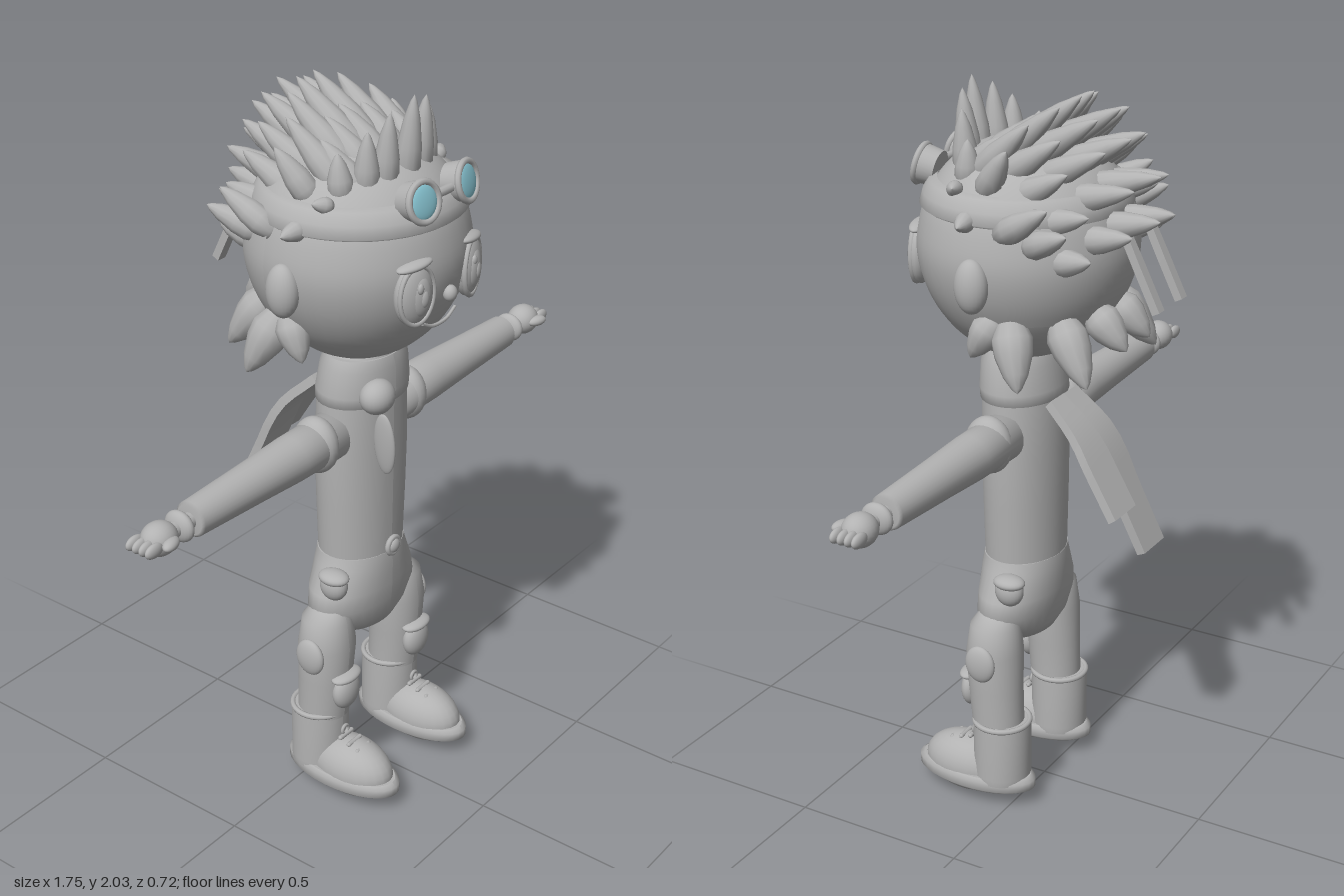
import * as THREE from 'three';

const grey = new THREE.MeshStandardMaterial({ color: 0xb2b2b2 });
grey.name = 'plain grey';
const greyOpen = grey; // shared by every solid part
greyOpen.side = THREE.DoubleSide;
const blue = new THREE.MeshStandardMaterial({ color: 0x8ccad8 });
blue.name = 'lens blue';
const V = (x, y, z) => new THREE.Vector3(x, y, z);

export function createModel() {
  const model = new THREE.Group();
  const add = (name, geo, pos = [0, 0, 0], rot = [0, 0, 0], mat = grey) => {
    const m = new THREE.Mesh(geo, mat);
    m.name = name;
    m.position.set(...pos);
    m.rotation.set(...rot);
    model.add(m);
    return m;
  };
  const ball = (name, pos, r, rot, mat) =>
    add(name, new THREE.SphereGeometry(1, 24, 16).scale(...r), pos, rot, mat);

  // Elliptical sections [y, rx, rz, x, z], listed from the top down
  const loft = (name, secs) => {
    const n = secs.length - 1;
    const g = new THREE.CylinderGeometry(1, 1, 1, 32, n);
    const p = g.attributes.position;
    for (let i = 0; i < p.count; i++) {
      const [y, rx, rz, cx, cz] = secs[Math.round((0.5 - p.getY(i)) * n)];
      p.setXYZ(i, cx + p.getX(i) * rx, y, cz + p.getZ(i) * rz);
    }
    g.computeVertexNormals();
    return add(name, g);
  };

  // Pointed, slightly flattened hair lock from base to tip
  const lock = (name, base, tip, r) => {
    const a = V(...base), d = V(...tip).sub(a), L = d.length();
    const prof = [[0, -0.08], [0.7, 0], [1, 0.22], [0.93, 0.45], [0.6, 0.75], [0.25, 0.93], [0, 1]]
      .map(([x, y]) => new THREE.Vector2(x * r, y * L));
    const m = add(name, new THREE.LatheGeometry(prof, 12), base);
    m.quaternion.setFromUnitVectors(V(0, 1, 0), d.normalize());
  };

  // Cloth strip following a path, w0 to w1 wide
  const ribbon = (name, pts, w0, w1, thick) => {
    const curve = new THREE.CatmullRomCurve3(pts.map((q) => V(...q)));
    const g = new THREE.BoxGeometry(1, 1, thick, 2, 10, 1), p = g.attributes.position;
    for (let i = 0; i < p.count; i++) {
      const t = 0.5 - p.getY(i), c = curve.getPoint(t), k = curve.getTangent(t);
      const n = V(1, 0, 0).cross(k).normalize().multiplyScalar(-p.getZ(i));
      const w = THREE.MathUtils.lerp(w0, w1, Math.min(1, t * 2));
      p.setXYZ(i, c.x + p.getX(i) * w, c.y + n.y, c.z + n.z);
    }
    g.computeVertexNormals();
    add(name, g);
  };

  // Head, hair shell at the back, headband
  const headCurve = new THREE.SplineCurve([[0, 1.265], [0.08, 1.275], [0.155, 1.31], [0.225, 1.375], [0.275, 1.46],
    [0.298, 1.55], [0.292, 1.63], [0.265, 1.71], [0.2, 1.79], [0.11, 1.835], [0, 1.85]].map((q) => new THREE.Vector2(...q)));
  const headProfile = headCurve.getPoints(40);
  headProfile.forEach((q) => { q.x = Math.max(0, q.x); });
  add('head', new THREE.LatheGeometry(headProfile, 40).scale(1, 1, 0.96), [0, 0, 0.05]);
  const shell = headProfile.filter((q) => q.y > 1.4).map((q) => new THREE.Vector2(q.x + 0.008, q.y + 0.003));
  add('hairShell', new THREE.LatheGeometry(shell, 32, Math.PI * 0.58, Math.PI * 0.84).scale(1, 1, 0.96), [0, 0, 0.05]);
  const bandProfile = [[0.275, 1.675], [0.289, 1.685], [0.28, 1.715], [0.262, 1.745], [0.24, 1.75]]
    .map((q) => new THREE.Vector2(...q));
  add('headband', new THREE.LatheGeometry(bandProfile, 40).scale(1, 1, 0.96), [0, 0, 0.05]);
  for (const x of [-0.09, 0.04])
    ribbon('headbandTail', [[x, 1.66, -0.25], [x, 1.56, -0.3], [x, 1.45, -0.355]], 0.025, 0.03, 0.022);

  // Upright fringe locks
  [[-0.18, 1.87], [-0.125, 1.92], [-0.075, 1.96], [0, 1.99], [0.07, 1.97], [0.125, 1.93], [0.18, 1.87]].forEach(([x, y]) =>
    lock('fringeLock', [x * 0.95, 1.75, 0.19 - x * x * 2], [x, y, 0.215 - x * x * 3], 0.034));

  // Swept-back rows: count, half width, base y and z, tip y and z
  [[5, 0.13, 1.79, 0.13, 1.92, -0.02], [6, 0.15, 1.81, 0.08, 1.98, -0.13], [5, 0.15, 1.81, 0.02, 1.95, -0.22],
    [6, 0.17, 1.78, -0.04, 1.89, -0.275], [5, 0.17, 1.73, -0.1, 1.79, -0.335], [6, 0.18, 1.65, -0.17, 1.69, -0.36]]
    .forEach(([n, w, by, bz, ty, tz]) => {
      for (let i = 0; i < n; i++) {
        const x = w * (2 * i / (n - 1) - 1);
        lock('crownLock', [x, by - x * x * 2, bz + x * x * 1.5], [x * 1.12, ty - x * x * 2.5, tz + x * x * 3.5], 0.038);
      }
    });

  // Face centre
  ball('nose', [0, 1.5, 0.335], [0.02, 0.022, 0.018]);
  const smile = new THREE.CatmullRomCurve3([V(-0.07, 1.43, 0.303), V(-0.03, 1.412, 0.305), V(0.03, 1.412, 0.305), V(0.07, 1.43, 0.303)]);
  add('mouth', new THREE.TubeGeometry(smile, 16, 0.005, 6));
  add('goggleBridge', new THREE.CylinderGeometry(0.012, 0.012, 0.08, 10), [0, 1.76, 0.3], [0, 0, Math.PI / 2]);

  // Torso, hips, collar, scarf, buckle
  loft('torso', [[1.29, 0.1, 0.09, 0, 0.065], [1.25, 0.13, 0.1, 0, 0.065], [1.15, 0.142, 0.107, 0, 0.06],
    [1, 0.147, 0.11, 0, 0.058], [0.85, 0.142, 0.109, 0, 0.058], [0.66, 0.132, 0.107, 0, 0.058]]);
  loft('collar', [[1.28, 0.12, 0.095, 0, 0.066], [1.25, 0.136, 0.104, 0, 0.066], [1.18, 0.147, 0.111, 0, 0.062],
    [1.15, 0.146, 0.111, 0, 0.06], [1.145, 0.13, 0.1, 0, 0.06]]);
  loft('hips', [[0.685, 0.138, 0.108, 0, 0.058], [0.65, 0.15, 0.112, 0, 0.058], [0.58, 0.185, 0.112, 0, 0.058],
    [0.53, 0.198, 0.107, 0, 0.06], [0.48, 0.165, 0.098, 0, 0.06], [0.445, 0.12, 0.08, 0, 0.062], [0.43, 0.06, 0.04, 0, 0.065]]);
  ball('scarfKnot', [-0.072, 1.185, 0.165], [0.053, 0.048, 0.045]);
  ball('scarfFrontEnd', [-0.085, 1.06, 0.2], [0.012, 0.092, 0.034], [0, 0, 0.08]);
  ribbon('scarfTailLong', [[-0.02, 1.16, -0.06], [-0.03, 1.06, -0.16], [-0.03, 0.9, -0.24], [-0.04, 0.75, -0.31]], 0.07, 0.115, 0.025);
  ribbon('scarfTailShort', [[0.05, 1.16, -0.06], [0.06, 1.08, -0.15], [0.075, 0.97, -0.23], [0.085, 0.89, -0.285]], 0.07, 0.115, 0.025);
  add('beltBuckle', new THREE.TorusGeometry(0.024, 0.008, 8, 24), [0, 0.7, 0.17]);
  ball('buckleStud', [0, 0.7, 0.172], [0.022, 0.022, 0.014]);

  for (const s of [1, -1]) {
    // Ears and eyes
    ball('ear', [s * 0.3, 1.53, 0.04], [0.038, 0.072, 0.046]);
    const yaw = s * 0.25;
    ball('eye', [s * 0.118, 1.53, 0.306], [0.058, 0.083, 0.032], [0, yaw, 0]);
    add('eyeRim', new THREE.TorusGeometry(1, 0.1, 8, 32).scale(0.054, 0.078, 0.08), [s * 0.119, 1.53, 0.318], [0, yaw, 0]);
    ball('iris', [s * 0.116, 1.528, 0.325], [0.034, 0.055, 0.018], [0, yaw, 0]);
    ball('pupil', [s * 0.115, 1.525, 0.338], [0.014, 0.024, 0.009], [0, yaw, 0]);
    ball('eyeGlint', [s * 0.115 - 0.014, 1.555, 0.337], [0.01, 0.014, 0.007]);
    ball('eyelid', [s * 0.118, 1.607, 0.308], [0.055, 0.013, 0.025], [0, yaw, -s * 0.1]);

    // Goggles
    const tilt = [-0.22, s * 0.15, 0], at = (d) => [s * (0.09 + d * 0.15), 1.762 + d * 0.22, 0.3 + d];
    const cup = new THREE.CylinderGeometry(0.053, 0.048, 0.05, 28).rotateX(Math.PI / 2);
    add('goggleCup', cup, at(-0.012), tilt);
    add('goggleRim', new THREE.TorusGeometry(0.05, 0.009, 8, 32), at(0.014), tilt);
    ball('goggleLens', at(0.013), [0.045, 0.045, 0.01], tilt, blue);

    // Side tufts and nape locks
    [[[0.25, 1.69, 0.07], [0.33, 1.685, 0.06], 0.028], [[0.22, 1.75, 0.13], [0.27, 1.765, 0.11], 0.022],
      [[0.26, 1.66, -0.02], [0.285, 1.75, -0.17], 0.036], [[0.23, 1.63, -0.08], [0.28, 1.69, -0.22], 0.036],
      [[0.2, 1.74, 0.06], [0.24, 1.87, -0.03], 0.036],
      [[0.24, 1.43, 0.01], [0.262, 1.325, 0.07], 0.045], [[0.225, 1.42, -0.03], [0.295, 1.265, -0.09], 0.054],
      [[0.14, 1.42, -0.13], [0.195, 1.27, -0.235], 0.054], [[0.055, 1.43, -0.18], [0.065, 1.34, -0.28], 0.05]]
      .forEach(([b, t, r]) => lock('sideLock', [s * b[0], b[1], b[2]], [s * t[0], t[1], t[2]], r));

    // Arm, wrist and hand
    const sleeve = [[0, 0.12], [0.066, 0.13], [0.064, 0.3], [0.057, 0.45], [0.048, 0.68], [0.04, 0.687], [0, 0.687]]
      .map((q) => new THREE.Vector2(...q));
    add('arm', new THREE.LatheGeometry(sleeve, 28), [0, 1.06, 0.055], [0, 0, -s * Math.PI / 2]);
    ball('shoulder', [s * 0.195, 1.06, 0.058], [0.05, 0.08, 0.068]);
    ball('wristBand', [s * 0.722, 1.06, 0.055], [0.022, 0.042, 0.045]);
    add('wrist', new THREE.CylinderGeometry(0.022, 0.022, 0.1, 14), [s * 0.73, 1.06, 0.055], [0, 0, Math.PI / 2]);
    ball('palm', [s * 0.795, 1.06, 0.055], [0.05, 0.044, 0.045]);
    for (let i = 0; i < 4; i++)
      ball('finger', [s * 0.845, 1.06, 0.022 + i * 0.021], [0.03, 0.019, 0.012]);
    ball('thumb', [s * 0.802, 1.064, 0.1], [0.032, 0.015, 0.018], [0, -s * 0.3, 0]);

    // Leg with pouch and pads
    const x = s * 0.165;
    loft('leg', [[0.54, 0.045, 0.05, s * 0.15, 0.065], [0.51, 0.07, 0.07, s * 0.16, 0.065], [0.43, 0.083, 0.08, s * 0.162, 0.066],
      [0.32, 0.074, 0.078, x, 0.062], [0.2, 0.07, 0.074, x, 0.055]]);
    ball('thighPad', [s * 0.24, 0.415, 0.068], [0.02, 0.055, 0.046]);
    ball('hipPouch', [s * 0.168, 0.625, 0.015 + (s < 0 ? 0.08 : 0)], [0.032, 0.045, 0.042]);
    ball('pouchFlap', [s * 0.168, 0.65, 0.015 + (s < 0 ? 0.08 : 0)], [0.036, 0.02, 0.046]);
    ball('kneePad', [x, 0.295, 0.135], [0.05, 0.058, 0.03]);
    ball('kneeStrap', [x, 0.343, 0.135], [0.054, 0.016, 0.033]);

    // Boot
    loft('bootShaft', [[0.215, 0.078, 0.078, x, 0.043], [0.205, 0.081, 0.082, x, 0.043], [0.05, 0.082, 0.082, x, 0.043], [0.03, 0.08, 0.08, x, 0.043]]);
    add('bootCuff', new THREE.TorusGeometry(0.078, 0.008, 8, 32).rotateX(Math.PI / 2), [x, 0.212, 0.043]);
    ball('bootToe', [x, 0.045, 0.155], [0.082, 0.088, 0.135]);
    loft('sole', [[0.046, 0.082, 0.172, x, 0.128], [0.036, 0.09, 0.186, x, 0.128], [0.012, 0.09, 0.186, x, 0.128], [0, 0.078, 0.165, x, 0.128]]);
    for (let i = 0; i < 3; i++)
      add('lace', new THREE.CapsuleGeometry(0.007, 0.05, 4, 8), [x, 0.14 - i * 0.01, 0.135 + i * 0.03], [0, 0, Math.PI / 2]);
    add('laceBow', new THREE.TorusGeometry(0.013, 0.005, 6, 16), [x, 0.155, 0.132]);
  }
  return model;
}
